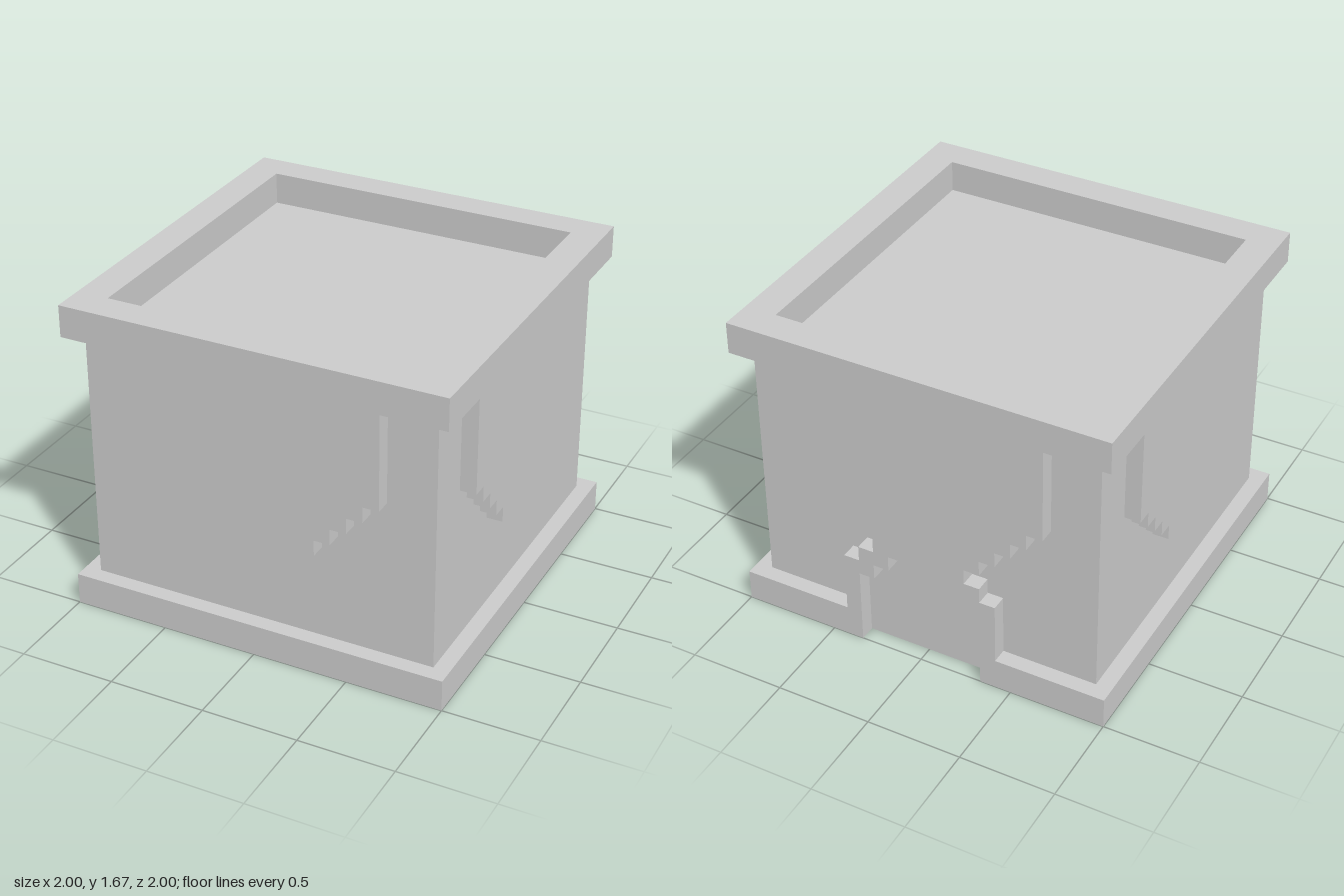
import * as THREE from 'three';

const U = 1 / 12; // every dimension sits on a grid of twelfths

export function createModel() {
  const model = new THREE.Group();
  const material = new THREE.MeshStandardMaterial({ color: 0xcccccc, flatShading: true });

  const add = (name, geometry) => {
    const mesh = new THREE.Mesh(geometry, material);
    mesh.name = name;
    model.add(mesh);
    return mesh;
  };
  const toPoints = (pts) => pts.map(([x, y]) => new THREE.Vector2(x * U, y * U));
  // Mirrors a half outline across x = 0
  const mirrored = (half) =>
    new THREE.Shape(toPoints([...half, ...half.map(([x, y]) => [-x, y]).reverse()]));
  const extrude = (shape, depth) =>
    new THREE.ExtrudeGeometry(shape, { depth: depth * U, bevelEnabled: false });
  // Extrudes a plan (x, -z) upwards from height y
  const slab = (shape, y, height) =>
    extrude(shape, height).rotateX(-Math.PI / 2).translate(0, y * U, 0);

  // Base plinth, with a doorway notch in the back edge
  add('base', slab(mirrored([[12, -12], [12, 12], [4, 12], [4, 11]]), 0, 2));

  // Solid body, whose top is the floor of the recess
  add('body', new THREE.BoxGeometry(22 * U, 16 * U, 22 * U).translate(0, 10 * U, 0));

  // Raised rim around the recess
  const rim = mirrored([[12, -12], [12, 12]]);
  rim.holes.push(new THREE.Path(toPoints([[-10, -10], [-10, 10], [10, 10], [10, -10]])));
  add('rim', slab(rim, 18, 2));

  // Stepped hanging panels on the four sides
  const steps = [[8, 18], [8, 12]];
  for (let x = 7; x >= 4; x--) steps.push([x, x + 5], [x, x + 4]);

  // The back panel carries on down into a stepped arch around the notch
  const arch = [
    [3, 8], [3, 7], [4, 7], [4, 6], [5, 6], [5, 2],
    [4, 2], [4, 5], [3, 5], [3, 6], [2, 6], [2, 7],
  ];
  ['frontPanel', 'leftPanel', 'backPanel', 'rightPanel'].forEach((name, i) => {
    const outline = name === 'backPanel' ? [...steps, ...arch] : steps;
    const panel = add(name, extrude(mirrored(outline), 1).translate(0, 0, 11 * U));
    panel.rotation.y = i * Math.PI / 2;
  });

  return model;
}
